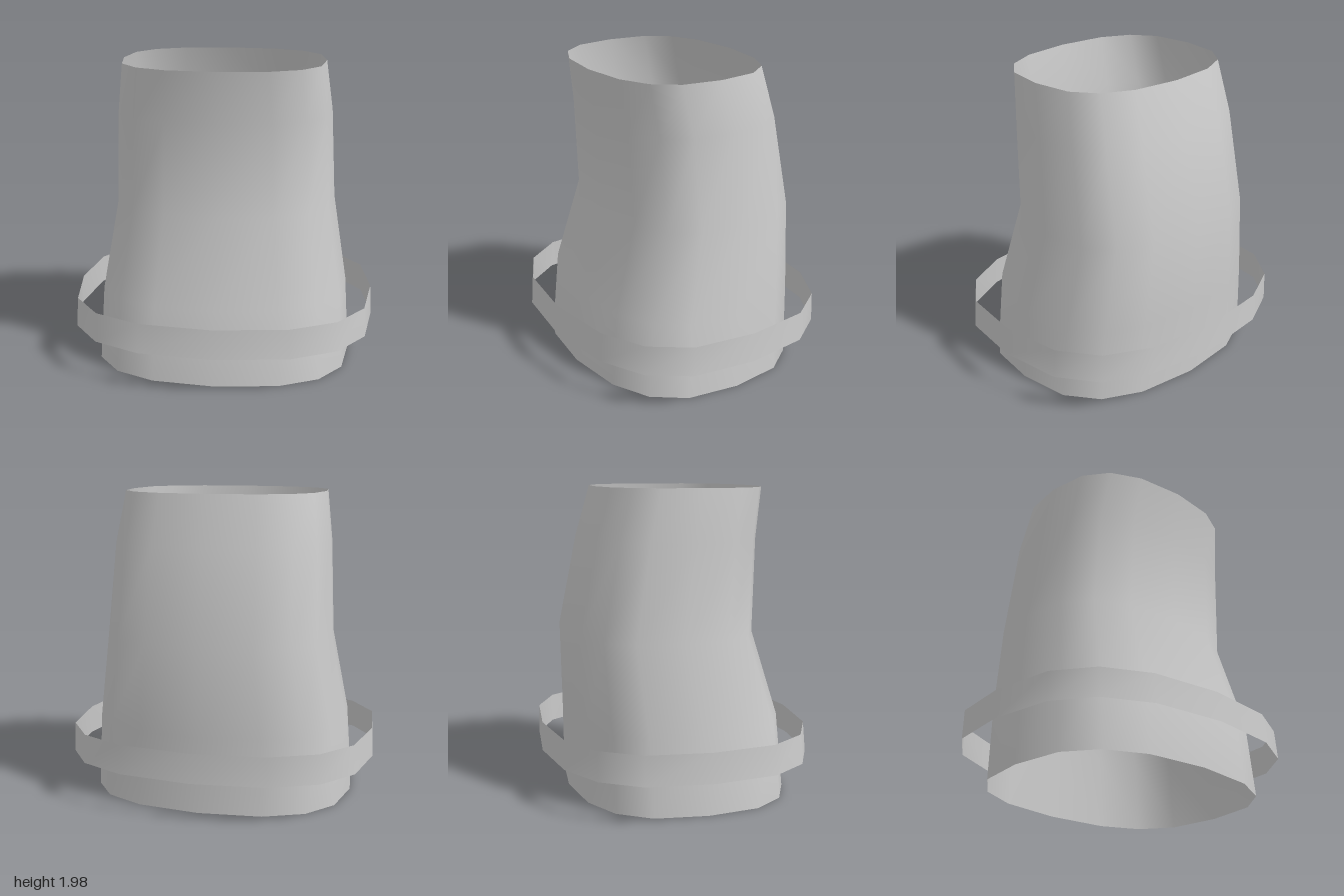
import * as THREE from 'three';

// One quarter of the rounded 16-sided outline (x, z on a unit radius), front to side
const quarter = [[0, 1], [0.475, 0.935], [0.77, 0.765], [0.945, 0.48]];

// Full outline: each quarter is mirrored into the next
const outline = [
  ...quarter,
  [1, 0],
  ...quarter.slice(1).reverse().map(([x, z]) => [x, -z]),
  [0, -1],
  ...quarter.slice(1).map(([x, z]) => [-x, -z]),
  [-1, 0],
  ...quarter.slice(1).reverse().map(([x, z]) => [-x, z]),
];

// Open smooth sleeve through rings given as [y, halfWidth, frontZ, backZ]
function sleeve(rings) {
  const n = outline.length, pos = [], index = [];
  for (const [y, w, front, back] of rings) {
    const mid = (front + back) / 2, depth = (front - back) / 2;
    for (const [x, z] of outline) pos.push(x * w, y, mid + z * depth);
  }
  for (let r = 0; r < rings.length - 1; r++) {
    for (let i = 0; i < n; i++) {
      const a = r * n + i, b = r * n + (i + 1) % n;
      index.push(a, b, b + n, a, b + n, a + n);
    }
  }
  const geo = new THREE.BufferGeometry();
  geo.setAttribute('position', new THREE.Float32BufferAttribute(pos, 3));
  geo.setIndex(index);
  geo.computeVertexNormals();
  return geo;
}

export function createModel() {
  const group = new THREE.Group();
  group.name = 'cuff';
  const grey = new THREE.MeshStandardMaterial({ color: 0xcccccc, side: THREE.DoubleSide });
  grey.name = 'light grey';

  // Bent tube, open at both ends
  const tube = new THREE.Mesh(sleeve([
    [0, 0.85, 0.72, -0.69],
    [0.49, 0.82, 0.675, -0.697],
    [1.045, 0.73, 0.505, -0.712],
    [1.645, 0.7, 0.525, -0.59],
    [1.975, 0.655, 0.568, -0.497],
  ]), grey);
  tube.name = 'tube';

  // Loose band around the lower end
  const band = new THREE.Mesh(sleeve([
    [0.25, 1, 0.862, -0.862],
    [0.44, 0.99, 0.846, -0.86],
  ]), grey);
  band.name = 'band';

  group.add(tube, band);
  return group;
}
